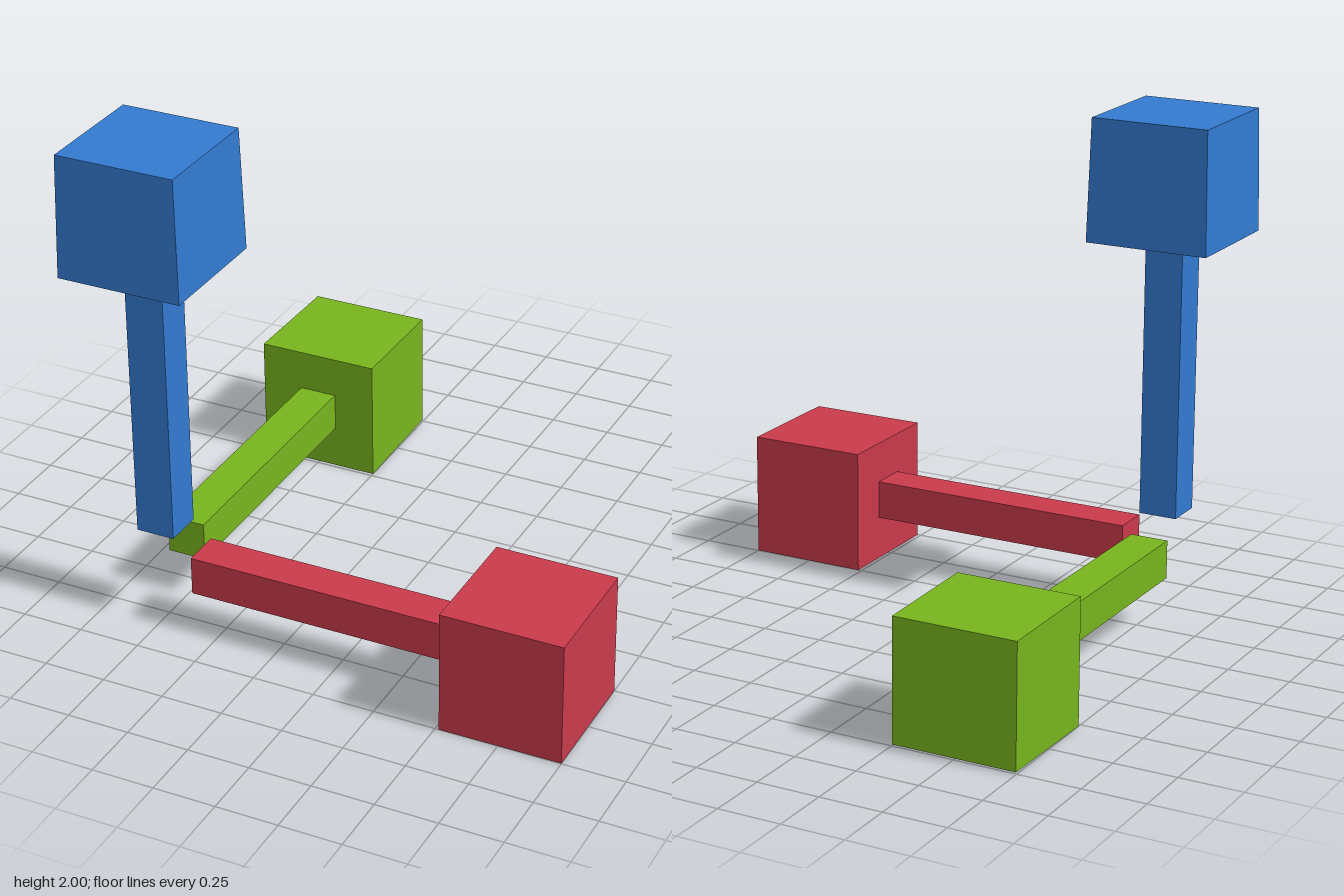
import * as THREE from 'three';

const SHAFT_START = 0.15, CUBE_START = 1.265, CUBE_END = 1.75;
const SHAFT_WIDTH = 0.156, CUBE_WIDTH = 0.5;

// Box standing on y = from, its upper end scaled by taperX and taperZ
function taperedBox(width, from, to, taperX = 1, taperZ = 1) {
  const geometry = new THREE.BoxGeometry(width, to - from, width);
  const pos = geometry.attributes.position;
  for (let i = 0; i < pos.count; i++) {
    if (pos.getY(i) > 0) {
      pos.setX(i, pos.getX(i) * taperX);
      pos.setZ(i, pos.getZ(i) * taperZ);
    }
  }
  geometry.translate(0, (from + to) / 2, 0);
  geometry.computeVertexNormals();
  return geometry;
}

// One axis handle: a square shaft with a cube at its far end, pointing up +y
function axisHandle(name, color, taperX, taperZ) {
  const material = new THREE.MeshStandardMaterial({ color });
  const handle = new THREE.Group();
  handle.name = name;

  const shaft = new THREE.Mesh(taperedBox(SHAFT_WIDTH, SHAFT_START, CUBE_START), material);
  shaft.name = name + 'Shaft';
  const cube = new THREE.Mesh(taperedBox(CUBE_WIDTH, CUBE_START, CUBE_END, taperX, taperZ), material);
  cube.name = name + 'Cube';
  handle.add(shaft, cube);
  return handle;
}

export function createModel() {
  const model = new THREE.Group();
  model.name = 'scaleGizmo';

  // Three handles meeting around a common corner
  const upHandle = axisHandle('upHandle', 0x337ad0, 0.955, 0.96);
  const sideHandle = axisHandle('sideHandle', 0xc93a4b, 0.997, 0.997);
  sideHandle.rotation.z = -Math.PI / 2;
  const backHandle = axisHandle('backHandle', 0x77b41e, 0.99, 0.975);
  backHandle.rotation.x = -Math.PI / 2;

  for (const handle of [upHandle, sideHandle, backHandle]) {
    handle.position.set(-0.75, 0.25, 0.75);
    model.add(handle);
  }
  // The level shafts sit a touch above the middle of their cubes
  sideHandle.getObjectByName('sideHandleShaft').position.x = -0.005;
  backHandle.getObjectByName('backHandleShaft').position.z = 0.005;
  return model;
}
